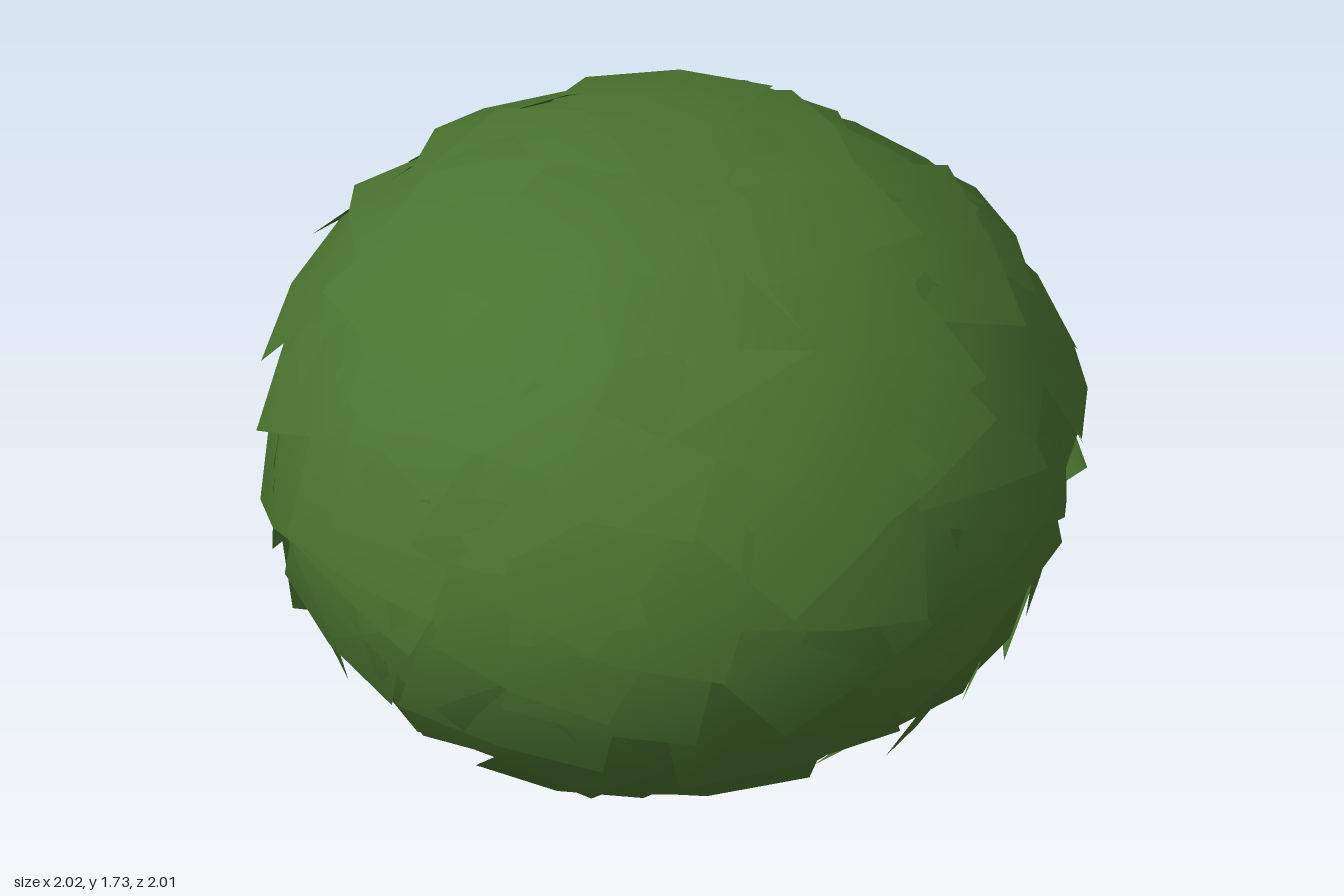
import * as THREE from 'three';
import { mergeGeometries } from 'three/addons/utils/BufferGeometryUtils.js';

const leafMaterial = new THREE.MeshStandardMaterial({ color: 0x4a732f, side: THREE.DoubleSide });
const barkMaterial = new THREE.MeshStandardMaterial({ color: 0x6b5848 });
const UP = new THREE.Vector3(0, 1, 0);

function seeded(seed) {
  return () => {
    seed = (seed * 16807) % 2147483647;
    return seed / 2147483647;
  };
}
const random = seeded(4217);
const spread = (range) => (random() - 0.5) * range;

// Crown shell: a sphere squashed a little above its widest ring and more below it
const CENTRE_Y = 0.88;
const heightAt = (y) => (y > 0 ? 0.9 : 0.78);

function shellPoint(direction, scale) {
  const { x, y, z } = direction;
  return new THREE.Vector3(x * scale, CENTRE_Y + y * heightAt(y) * scale, z * scale);
}

function shellNormal(p) {
  const y = p.y - CENTRE_Y;
  return new THREE.Vector3(p.x, y / heightAt(y) ** 2, p.z).normalize();
}

// One crumpled square leaf card wrapped over the shell, its lower edge lifted outward
function leafCard(direction, width, height, roll, layer, lift) {
  const side = UP.clone().cross(direction).normalize().applyAxisAngle(direction, roll);
  const rise = direction.clone().cross(side);
  const card = new THREE.PlaneGeometry(width, height, 2, 2);
  const pos = card.attributes.position;
  for (let i = 0; i < pos.count; i++) {
    const u = pos.getX(i), v = pos.getY(i);
    const d = direction.clone().addScaledVector(side, u).addScaledVector(rise, v).normalize();
    const p = shellPoint(d, layer - (lift * v) / height + 0.12 * (u * u + v * v) + spread(0.02));
    pos.setXYZ(i, p.x, p.y, p.z);
  }
  // Normals between the card's own and the crown's
  card.computeVertexNormals();
  const nor = card.attributes.normal;
  for (let i = 0; i < pos.count; i++) {
    const n = new THREE.Vector3().fromBufferAttribute(nor, i);
    n.add(shellNormal(new THREE.Vector3().fromBufferAttribute(pos, i))).normalize();
    nor.setXYZ(i, n.x, n.y, n.z);
  }
  return card;
}

function foliage() {
  const cards = [];
  const count = 140;
  for (let i = 0; i < count; i++) {
    // Even spiral over the shell, leaving an opening underneath
    const y = 0.99 - (1.9 * (i + 0.5)) / count;
    const angle = i * 2.39996 + spread(0.4);
    const ring = Math.sqrt(1 - y * y);
    const direction = new THREE.Vector3(ring * Math.cos(angle), y, ring * Math.sin(angle));
    const low = y < -0.6;
    const size = (low ? 0.36 : 0.5) + random() * 0.12;
    const layer = 0.93 + random() * 0.025;
    const lift = (low ? 0.05 : 0.03) + random() * 0.08;
    cards.push(leafCard(direction, size, size * (0.9 + random() * 0.2), spread(1.7), layer, lift));
  }
  const mesh = new THREE.Mesh(mergeGeometries(cards), leafMaterial);
  mesh.name = 'foliage';
  return mesh;
}

// A tapered stem from the ground to a point inside the crown
function stem(x, z, topX, topZ) {
  const height = 0.38;
  const geometry = new THREE.CylinderGeometry(0.01, 0.03, height, 8, 3);
  geometry.translate(0, height / 2, 0);
  const pos = geometry.attributes.position;
  for (let i = 0; i < pos.count; i++) {
    const t = pos.getY(i) / height;
    pos.setX(i, pos.getX(i) + x + (topX - x) * t);
    pos.setZ(i, pos.getZ(i) + z + (topZ - z) * t);
  }
  geometry.computeVertexNormals();
  return new THREE.Mesh(geometry, barkMaterial);
}

export function createModel() {
  const model = new THREE.Group();
  model.name = 'bush';
  model.add(foliage());

  const stems = new THREE.Group();
  stems.name = 'stems';
  [
    [-0.055, 0.07, -0.075, 0.07],
    [-0.145, -0.085, -0.19, -0.11],
    [0.14, 0.04, 0.19, 0.06],
  ].forEach((ends, i) => {
    const mesh = stem(...ends);
    mesh.name = `stem${i + 1}`;
    stems.add(mesh);
  });
  model.add(stems);
  return model;
}
